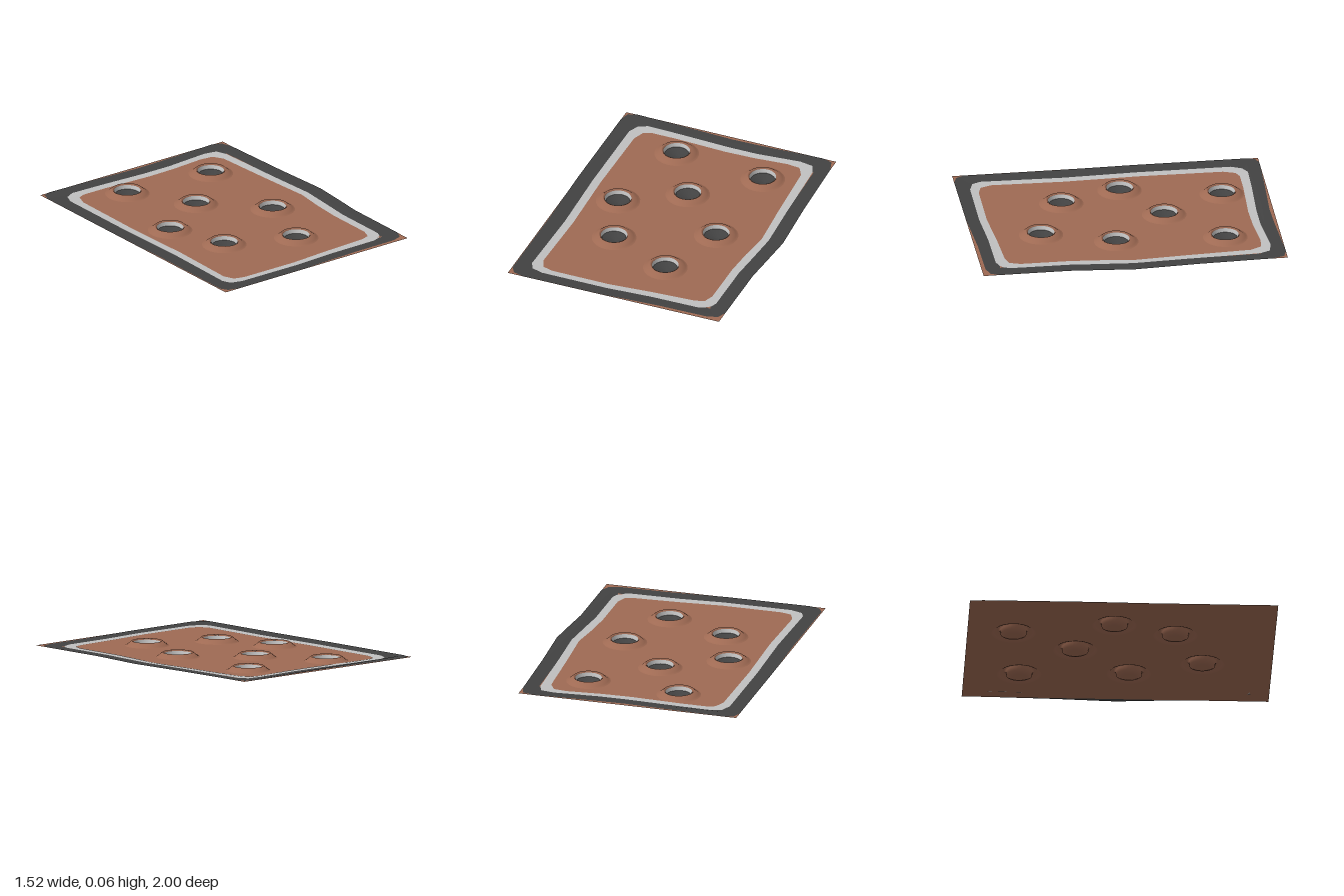
import * as THREE from 'three';

const material = (name, color) => {
  const m = new THREE.MeshStandardMaterial({ color, side: THREE.DoubleSide });
  m.name = name;
  return m;
};

// Outlines as [x, z] pairs, running clockwise from the back left corner
const innerEdge = [
  [-0.6, -0.75], [-0.57, -0.83], [-0.52, -0.85], [-0.35, -0.85], [0, -0.835], [0.2, -0.84], [0.43, -0.86], [0.52, -0.85],
  [0.56, -0.78], [0.585, -0.35], [0.61, 0], [0.585, 0.2], [0.57, 0.4], [0.57, 0.73], [0.545, 0.8], [0.48, 0.82],
  [0.2, 0.835], [-0.1, 0.86], [-0.5, 0.86], [-0.57, 0.84], [-0.6, 0.77], [-0.59, 0.3], [-0.605, -0.2],
];
const middleEdge = [
  [-0.66, -0.81], [-0.63, -0.88], [-0.57, -0.91], [-0.35, -0.905], [0, -0.89], [0.2, -0.89], [0.5, -0.915], [0.59, -0.9],
  [0.62, -0.83], [0.64, -0.35], [0.66, 0], [0.64, 0.25], [0.625, 0.42], [0.625, 0.8], [0.6, 0.86], [0.53, 0.885],
  [0.2, 0.89], [-0.1, 0.91], [-0.55, 0.91], [-0.63, 0.885], [-0.655, 0.83], [-0.645, 0.3], [-0.66, -0.2],
];
const outerEdge = [
  [-0.76, -0.92], [-0.74, -0.98], [-0.69, -1], [-0.35, -0.99], [0, -0.975], [0.2, -0.98], [0.62, -1], [0.69, -0.98],
  [0.715, -0.9], [0.735, -0.4], [0.76, 0], [0.74, 0.25], [0.725, 0.42], [0.725, 0.88], [0.7, 0.94], [0.63, 0.965],
  [0.3, 0.97], [-0.1, 0.995], [-0.65, 1], [-0.72, 0.98], [-0.75, 0.93], [-0.75, 0.3], [-0.76, -0.2],
];
const sheetEdge = [[-0.76, -1], [0.715, -1], [0.725, 0.99], [-0.755, 1]];

const craters = [[-0.28, -0.7], [0.35, -0.64], [-0.03, -0.29], [-0.42, -0.05], [0.32, 0.07], [-0.28, 0.35], [0.16, 0.54]];
const FLOOR = 0.027, SEGMENTS = 24, CRATER_RADIUS = 0.145;

const toPoints = (edge) => edge.map(([x, z]) => new THREE.Vector2(x, -z));

// Flat sheet with holes; the margin outside the inner edge rises gently
function sheet(edge, holes, lift = 0) {
  const shape = new THREE.Shape(toPoints(edge));
  holes.forEach((h) => shape.holes.push(new THREE.Path(toPoints(h))));
  const geometry = new THREE.ShapeGeometry(shape).rotateX(-Math.PI / 2);
  const p = geometry.attributes.position;
  for (let i = 0; i < p.count; i++) {
    const spread = Math.max(Math.abs(p.getX(i)) - 0.61, Math.abs(p.getZ(i)) - 0.86, 0);
    p.setY(i, FLOOR + lift + 0.007 * Math.min(spread / 0.13, 1));
  }
  geometry.computeVertexNormals();
  return geometry;
}

const lathe = (profile) =>
  new THREE.LatheGeometry(profile.map(([r, y]) => new THREE.Vector2(r, y)), SEGMENTS);

const circle = ([x, z]) => Array.from({ length: SEGMENTS }, (_, i) => {
  const a = (i / SEGMENTS) * Math.PI * 2;
  return [x + Math.sin(a) * CRATER_RADIUS, z + Math.cos(a) * CRATER_RADIUS];
});

export function createModel() {
  const clay = material('clay brown', 0x9f6a53);
  const pale = material('pale grey', 0xc0c0c0);
  const dark = material('charcoal', 0x424242);

  const model = new THREE.Group();
  const add = (parent, name, geometry, mat) => {
    const mesh = new THREE.Mesh(geometry, mat);
    mesh.name = name;
    parent.add(mesh);
  };

  // Ground sheet and its painted borders
  add(model, 'ground', sheet(innerEdge, craters.map(circle)), clay);
  add(model, 'groundMargin', sheet(sheetEdge, [innerEdge]), clay);
  add(model, 'paleBorder', sheet(middleEdge, [innerEdge], 0.002), pale);
  add(model, 'darkBorder', sheet(outerEdge, [middleEdge], 0.002), dark);

  // Crater skin: raised rim outside, rounded pocket below
  const skin = lathe([
    [CRATER_RADIUS, FLOOR], [0.13, 0.033], [0.1, 0.057], [0.087, 0.048],
    [0.084, 0.02], [0.05, 0.009], [0.02, 0.002], [0, 0],
  ]);
  const wall = lathe([[0.0865, 0.049], [0.079, 0.024]]);
  const bowl = lathe([[0.079, 0.024], [0.05, 0.013], [0.02, 0.006], [0, 0.004]]);

  craters.forEach(([x, z]) => {
    const crater = new THREE.Group();
    crater.name = 'crater';
    crater.position.set(x, 0, z);
    add(crater, 'craterRim', skin, clay);
    add(crater, 'craterWall', wall, pale);
    add(crater, 'craterBowl', bowl, dark);
    model.add(crater);
  });
  return model;
}
